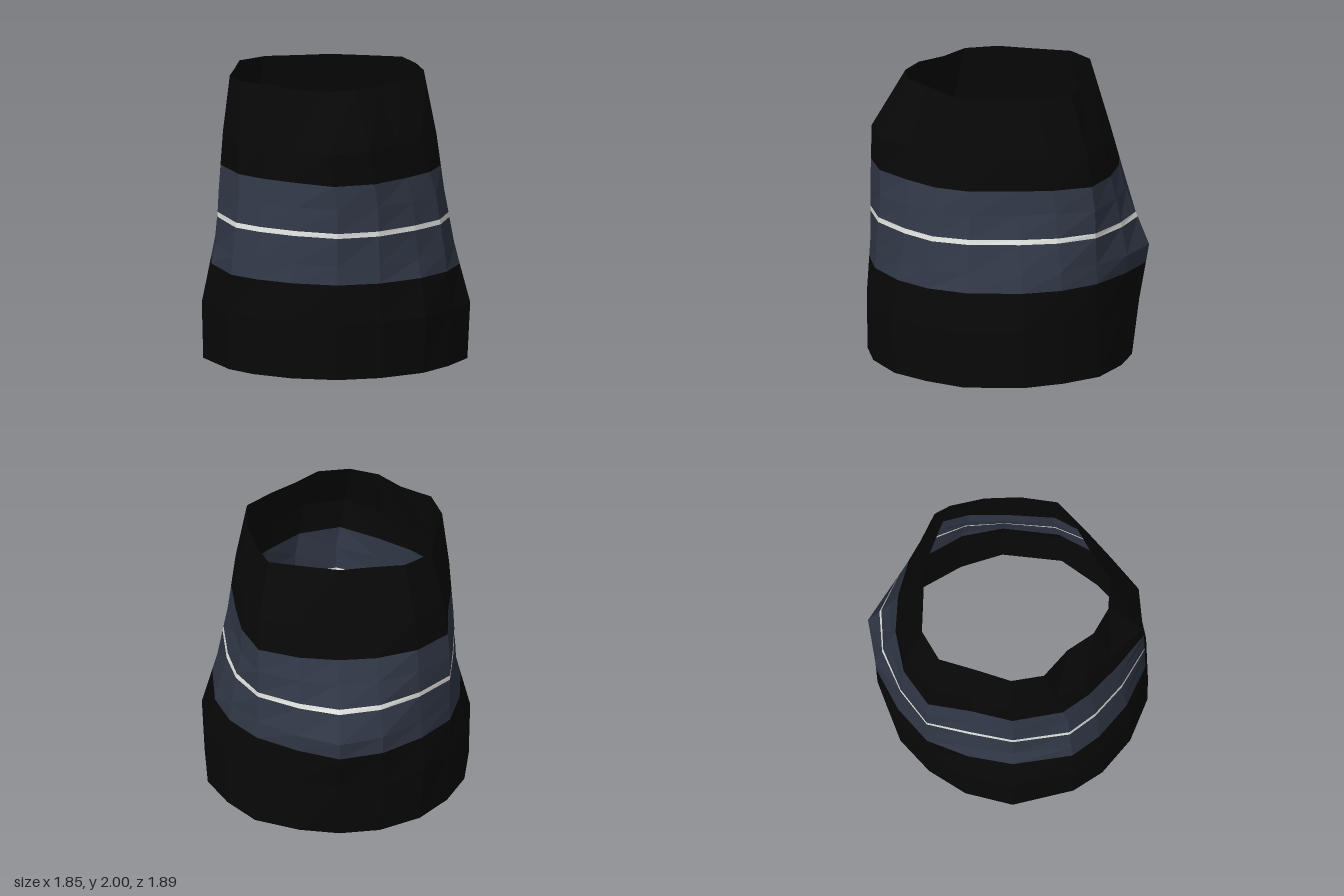
import * as THREE from 'three';

// Directions of the wall's corners, in degrees from +x towards +z; they turn slightly near the top
const lowerAngles = [-4, 15, 34, 60, 79, 98, 120, 139, 159, 178, 193, 220, 241, 260, 279, 299, 317, 335];
const topAngles = [0, 20, 43, 67, 88, 110, 128, 147, 165, 184, 203, 221, 241, 261, 278.5, 297, 316, 342];

// Corner radii of the faceted sleeve, one ring every 0.4 units from the hem to the top
const STEP = 0.4;
const rings = [
  [.925, .905, .92, .93, .90, .915, .92, .94, .93, .93, .93, .94, .92, .91, .92, .92, .91, .90],
  [.92, .912, .93, .95, .918, .95, .93, .945, .934, .93, .94, .95, .94, .935, .96, .97, .96, .91],
  [.90, .875, .84, .84, .87, .86, .90, .92, .885, .885, .90, .85, .86, .935, .93, .985, 1.03, .94],
  [.885, .795, .73, .765, .80, .805, .87, .92, .845, .83, .845, .83, .82, .935, .91, .89, .87, .86],
  [.845, .75, .69, .72, .715, .74, .87, .92, .80, .785, .80, .80, .78, .895, .87, .78, .75, .78],
  [.71, .64, .615, .65, .58, .575, .66, .69, .68, .64, .74, .75, .72, .79, .75, .65, .64, .635],
];

// Corner i of ring k
function corner(i, k) {
  const turn = Math.max(0, (k - 3) / 2);
  const a = THREE.MathUtils.degToRad(THREE.MathUtils.lerp(lowerAngles[i], topAngles[i], turn));
  return new THREE.Vector3(rings[k][i] * Math.cos(a), k * STEP, rings[k][i] * Math.sin(a));
}

// Point on the wall's edge i at height y
function wallPoint(i, y) {
  const k = Math.min(Math.floor(y / STEP + 1e-6), rings.length - 2);
  return corner(i, k).lerp(corner(i, k + 1), y / STEP - k);
}

// Open band of the wall running through the given heights
function band(name, heights, material) {
  const n = lowerAngles.length;
  const points = [];
  const index = [];
  heights.forEach((y) => {
    for (let i = 0; i < n; i++) points.push(wallPoint(i, y));
  });
  for (let j = 0; j < heights.length - 1; j++) {
    for (let i = 0; i < n; i++) {
      const a = j * n + i;
      const b = j * n + (i + 1) % n;
      index.push(a, a + n, b, b, a + n, b + n);
    }
  }
  const geometry = new THREE.BufferGeometry().setFromPoints(points);
  geometry.setIndex(index);
  geometry.computeVertexNormals();
  const mesh = new THREE.Mesh(geometry, material);
  mesh.name = name;
  return mesh;
}

function makeMaterial(name, color) {
  const m = new THREE.MeshStandardMaterial({ color, flatShading: true, side: THREE.DoubleSide });
  m.name = name;
  return m;
}

export function createModel() {
  const black = makeMaterial('black cloth', 0x080808);
  const slate = makeMaterial('slate blue cloth', 0x323948);
  const pale = makeMaterial('pale stripe', 0xe6e8e4);

  const sleeve = new THREE.Group();
  sleeve.name = 'sleeve';
  sleeve.add(
    band('lowerSleeve', [0, 0.4, 0.67], black),
    band('lowerBand', [0.67, 0.8, 1.0], slate),
    band('thinStripe', [1.0, 1.035], pale),
    band('upperBand', [1.035, 1.2, 1.37], slate),
    band('upperSleeve', [1.37, 1.6, 2.0], black),
  );
  return sleeve;
}
